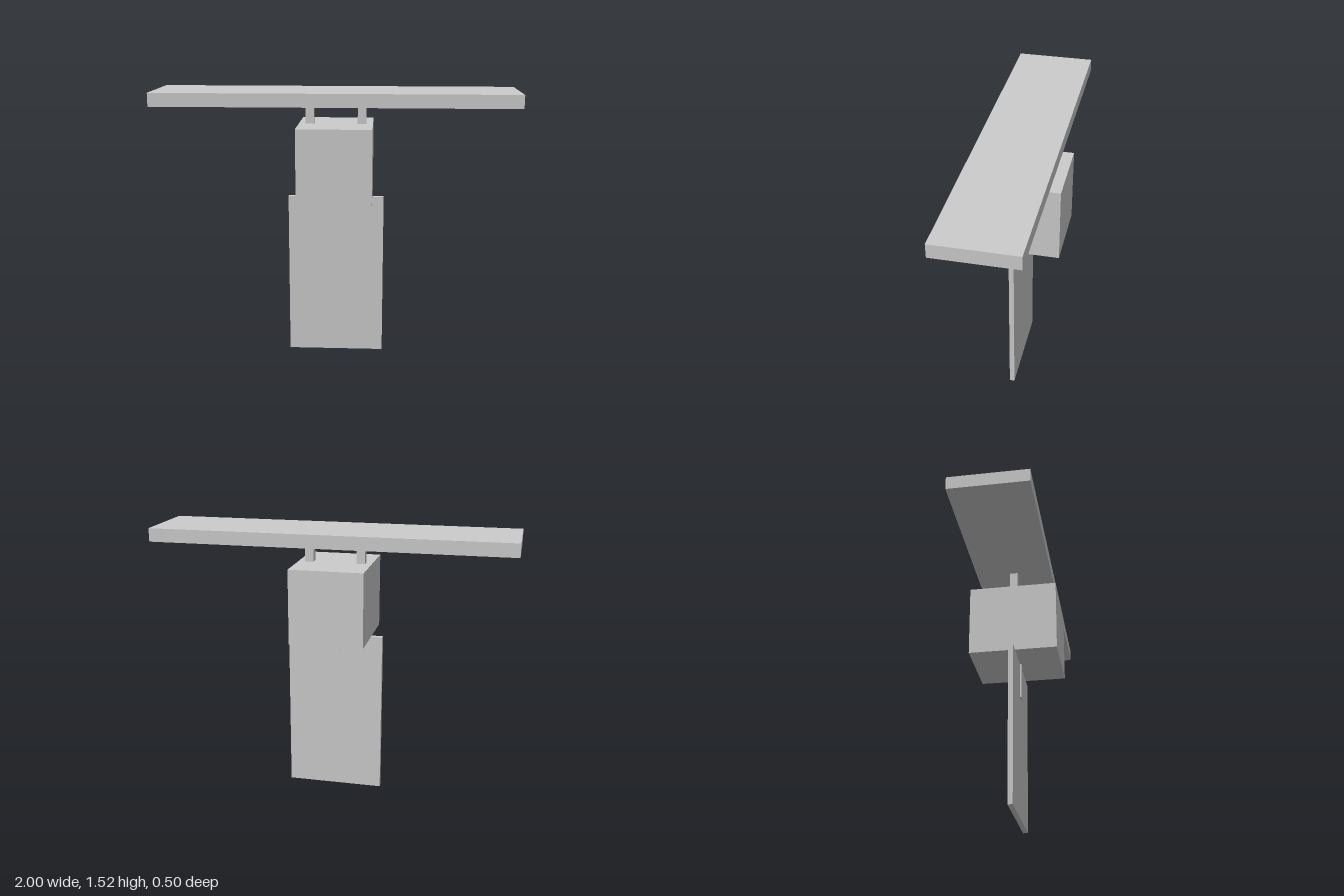
import * as THREE from 'three';

const material = new THREE.MeshStandardMaterial({ color: 0xcccccc, flatShading: true });

// Box centred on z = 0, spanning y0 to y1
function box(name, width, y0, y1, depth, x = 0) {
  const mesh = new THREE.Mesh(new THREE.BoxGeometry(width, y1 - y0, depth), material);
  mesh.name = name;
  mesh.position.set(x, (y0 + y1) / 2, 0);
  return mesh;
}

export function createModel() {
  const model = new THREE.Group();
  model.name = 'model';

  // Upright plate with a short rod through its upper end
  model.add(box('lowerPlate', 0.54, 0, 0.92, 0.028));
  model.add(box('lowerRod', 0.048, 0.71, 0.92, 0.044));

  // Central block
  model.add(box('block', 0.412, 0.92, 1.335, 0.5));

  // Pair of posts carrying the long top board
  for (const side of [-1, 1]) {
    model.add(box(side > 0 ? 'leftPost' : 'rightPost', 0.048, 1.335, 1.446, 0.044, side * 0.145));
  }
  model.add(box('topBoard', 2, 1.446, 1.52, 0.436));

  return model;
}
